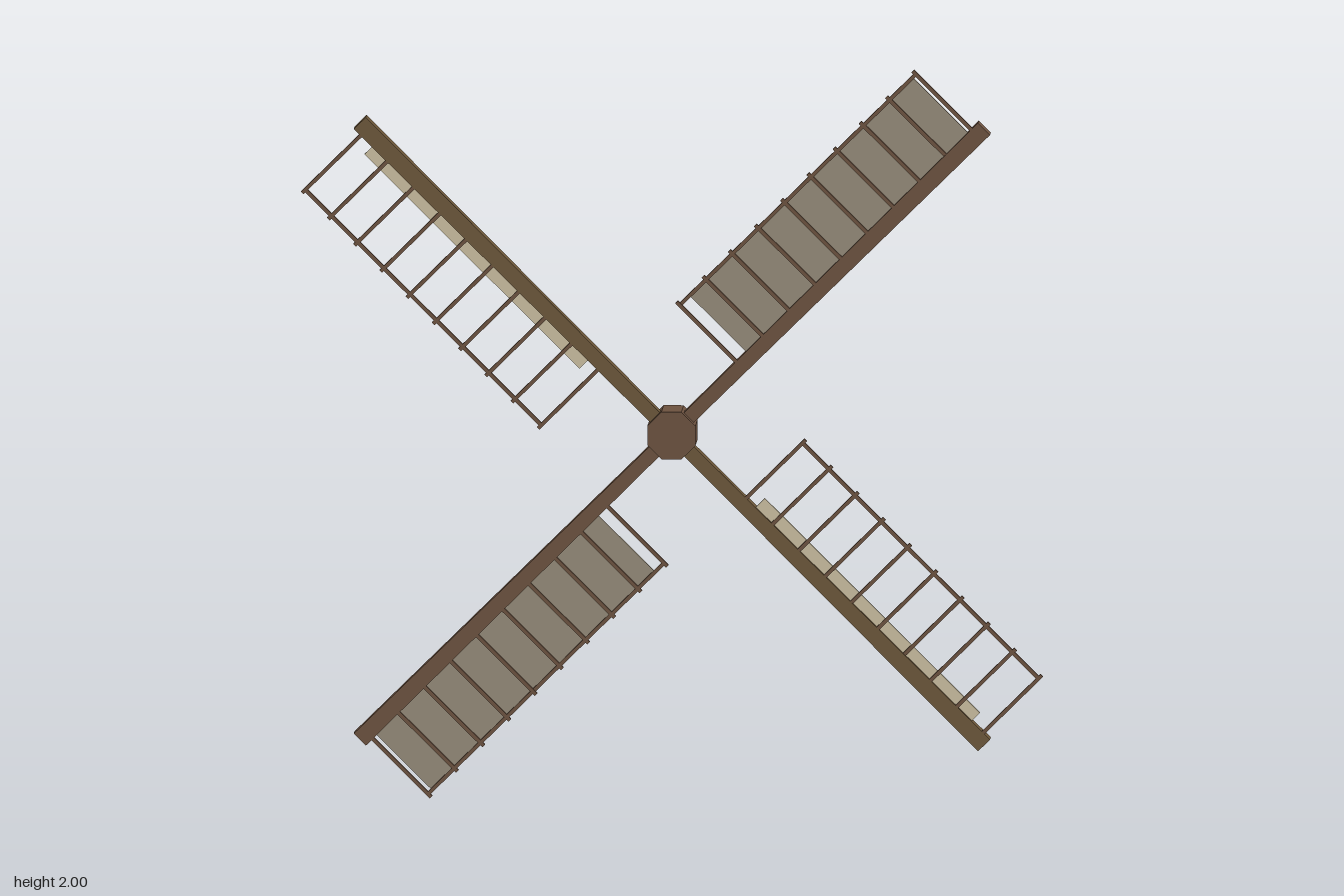
import * as THREE from 'three';

const mat = (name, color, side = THREE.FrontSide) => {
  const m = new THREE.MeshStandardMaterial({ color, side });
  m.name = name;
  return m;
};

export function createModel() {
  const wood = mat('brown wood', 0x6e5340);
  const paleWood = mat('olive wood', 0x6e583a);
  const canvas = mat('pale canvas', 0xcfc3a4);
  const shadeCanvas = mat('grey canvas', 0x988e7c);

  const model = new THREE.Group();
  model.name = 'windmillSails';

  // Box given by its min and max corners
  const box = (parent, name, material, [x0, y0, z0], [x1, y1, z1]) => {
    const mesh = new THREE.Mesh(new THREE.BoxGeometry(x1 - x0, y1 - y0, z1 - z0), material);
    mesh.position.set((x0 + x1) / 2, (y0 + y1) / 2, (z0 + z1) / 2);
    mesh.name = name;
    parent.add(mesh);
    return mesh;
  };

  // Octagonal hub with flats facing the arms
  const hubGeometry = new THREE.CylinderGeometry(0.07, 0.07, 0.112, 8).toNonIndexed();
  hubGeometry.rotateY(Math.PI / 8).rotateX(Math.PI / 2);
  hubGeometry.computeVertexNormals();
  const hub = new THREE.Mesh(hubGeometry, wood);
  hub.name = 'hub';
  hub.position.y = 1;
  model.add(hub);

  // One arm along local +x, its lattice on the +y side
  const makeArm = (furled) => {
    const arm = new THREE.Group();
    arm.name = furled ? 'furledArm' : 'spreadArm';

    // Beam, slightly wider at the tip
    const beam = box(arm, 'beam', furled ? paleWood : wood, [0, -0.023, -0.006], [1.19, 0.023, 0.033]);
    const p = beam.geometry.attributes.position;
    for (let i = 0; i < p.count; i++) if (p.getX(i) < 0) p.setY(i, p.getY(i) * 0.8);
    beam.geometry.computeVertexNormals();

    // Lattice of ten rungs and an outer rail
    for (let i = 0; i < 10; i++) {
      const x = 0.264 + i * 0.1;
      box(arm, 'rung', wood, [x - 0.005, 0.01, 0.022], [x + 0.005, 0.246, 0.032]);
    }
    box(arm, 'rail', wood, [0.259, 0.229, 0.0225], [1.169, 0.239, 0.0315]);

    // Cloth: a full panel with a grey front, or a narrow gathered strip
    if (furled) {
      box(arm, 'furledSail', canvas, [0.3, 0.01, 0.012], [1.12, 0.053, 0.021]);
    } else {
      const materials = [canvas, canvas, canvas, canvas, shadeCanvas, canvas];
      box(arm, 'sail', materials, [0.3, 0.01, 0.014], [1.15, 0.235, 0.021]);
    }
    return arm;
  };

  for (let i = 0; i < 4; i++) {
    const arm = makeArm(i % 2 === 1);
    arm.position.y = 1;
    arm.rotation.z = Math.PI / 4 + (i * Math.PI) / 2;
    model.add(arm);
  }
  return model;
}
